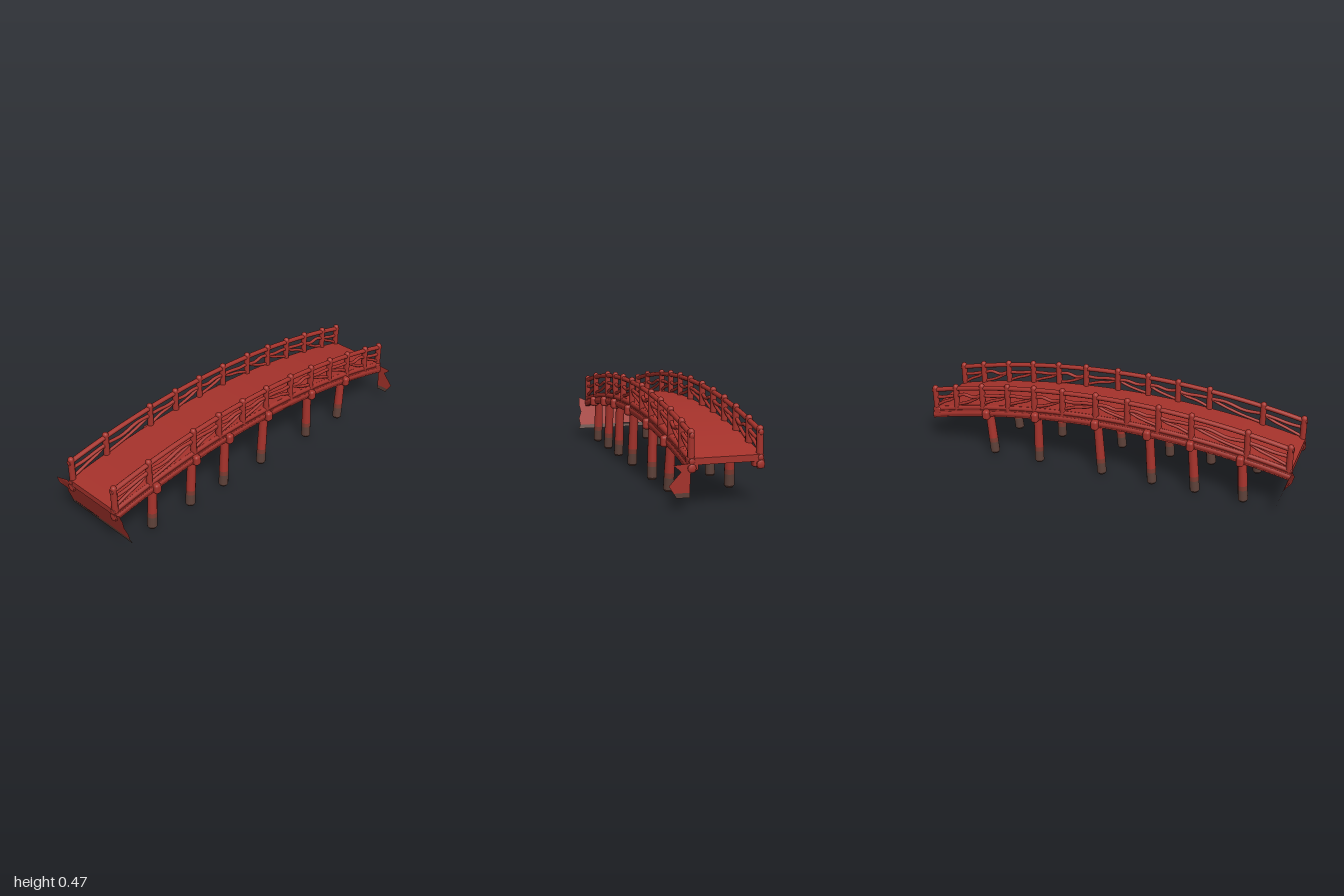
import * as THREE from 'three';
import { RoundedBoxGeometry } from 'three/addons/geometries/RoundedBoxGeometry.js';

const mat = (name, color, side = THREE.FrontSide) => {
  const m = new THREE.MeshStandardMaterial({ color, side });
  m.name = name;
  return m;
};

export function createModel() {
  const red = mat('red lacquer', 0xa5322b, THREE.DoubleSide);
  const stain = mat('stained red', 0x7c3a30, THREE.DoubleSide);
  const brown = mat('muddy brown', 0x5c4038, THREE.DoubleSide);

  const model = new THREE.Group();
  model.name = 'archedBridge';

  // Centre height of the side beams along the arch
  const arch = x => 0.31 - 0.117 * (x + 0.03) ** 2;
  const X0 = -0.965, X1 = 0.992;
  const v = (x, y, z) => new THREE.Vector3(x, y, z);

  const add = (name, geometry, material, parent = model) => {
    const mesh = new THREE.Mesh(geometry, material);
    mesh.name = name;
    parent.add(mesh);
    return mesh;
  };

  // Straight round timber between two points
  const log = (name, a, b, ra, rb, material, parent) => {
    const d = b.clone().sub(a);
    const m = add(name, new THREE.CylinderGeometry(rb, ra, d.length(), 14), material, parent);
    m.position.copy(a).addScaledVector(d, 0.5);
    m.quaternion.setFromUnitVectors(v(0, 1, 0), d.normalize());
    return m;
  };

  // Bent timber through a few points, with rounded ends
  const bent = (name, pts, r, parent, segments = 10) => {
    const curve = new THREE.CatmullRomCurve3(pts);
    add(name, new THREE.TubeGeometry(curve, segments, r, 10), red, parent);
    for (const p of [pts[0], pts[pts.length - 1]]) {
      const end = add(name + 'End', new THREE.SphereGeometry(r, 10, 6), red, parent);
      end.position.copy(p);
      end.scale.x = 0.3;
    }
  };

  const archPoints = (offset, z, n = 16) => Array.from({ length: n + 1 }, (_, i) => {
    const x = X0 + (X1 - X0) * i / n;
    return v(x, arch(x) + offset, z);
  });

  // Solid strip following the arch
  const strip = (name, low, high, z0, z1) => {
    const shape = new THREE.Shape([
      ...archPoints(low, 0, 32), ...archPoints(high, 0, 32).reverse(),
    ].map(p => new THREE.Vector2(p.x, p.y)));
    const g = new THREE.ExtrudeGeometry(shape, { depth: z1 - z0, bevelEnabled: false });
    g.translate(0, 0, z0);
    add(name, g, red);
  };
  strip('deck', 0.004, 0.034, -0.175, 0.15);

  // Railings and side beams
  const postX = [-0.95, -0.74, -0.457, -0.287, -0.122, 0.048, 0.23, 0.39, 0.543, 0.693, 0.85, 0.976];
  for (const [side, z, inward] of [['left', 0.147, -1], ['right', -0.17, 1]]) {
    const rail = new THREE.Group();
    rail.name = side === 'left' ? 'frontRailing' : 'backRailing';
    model.add(rail);

    strip('sideBeam', -0.028, 0.012, z - 0.016, z + 0.016);
    bent('lowerBeamLog', archPoints(-0.01, z), 0.02, rail, 48);
    bent('upperBeamLog', archPoints(0.02, z), 0.014, rail, 48);
    bent('topRail', archPoints(0.132, z), 0.0125, rail, 48);

    postX.forEach((x, i) => {
      const low = arch(x) - 0.015, high = arch(x) + 0.158;
      const post = add('post', new THREE.CapsuleGeometry(0.016, high - low - 0.032, 4, 12), red, rail);
      post.position.set(x, (low + high) / 2, z);
      if (i === postX.length - 1) return;

      // Crooked branches filling each bay
      const nx = postX[i + 1], w = nx - x;
      const at = (t, off) => v(x + w * t, arch(x + w * t) + off, z);
      const wob = 0.006 * Math.sin(i * 2.3 + z * 20);
      bent('middleRail', [at(0, 0.092), at(0.35, 0.084 + wob), at(0.7, 0.09 - wob), at(1, 0.09)], 0.009, rail);
      const rising = x + w / 2 < 0.05;
      const t = k => rising ? k : 1 - k;
      bent('brace', [at(t(0), 0.04), at(t(0.4), 0.055 + wob), at(t(0.75), 0.07), at(t(1), 0.092)], 0.008, rail);
    });

    // Square blocks finishing the beams at the far end
    const block = add('beamEnd', new RoundedBoxGeometry(0.04, 0.06, 0.05, 2, 0.008), red, rail);
    block.position.set(0.968, arch(0.968) + 0.002, z + inward * 0.007);
  }

  // Trestles: a cross beam carried by two leaning piles
  const trestles = [[-0.735, -0.715], [-0.485, -0.46], [-0.255, -0.235], [0.02, 0.045], [0.378, 0.38], [0.64, 0.665]];
  for (const [bx, tx] of trestles) {
    const trestle = new THREE.Group();
    trestle.name = 'trestle';
    model.add(trestle);
    const topY = arch(tx) - 0.012;
    const beam = add('crossBeam', new RoundedBoxGeometry(0.038, 0.054, 0.40, 3, 0.014), red, trestle);
    beam.position.set(tx, topY, -0.0125);

    for (const [bz, tz] of [[0.141, 0.136], [-0.16, -0.153]]) {
      const at = y => v(bx, 0, bz).lerp(v(tx, topY, tz), y / topY);
      log('pileTip', at(0.002), at(0.012), 0.018, 0.025, brown, trestle);
      log('pileFoot', at(0.012), at(0.068), 0.025, 0.0245, brown, trestle);
      log('pileStain', at(0.068), at(0.092), 0.0245, 0.0243, stain, trestle);
      log('pile', at(0.092), at(topY), 0.0243, 0.022, red, trestle);
    }
  }

  // Ragged sheet across the near end, leaning inward towards the bottom
  const lean = (name, pts, material, xAt, parent) => {
    const g = new THREE.ShapeGeometry(new THREE.Shape(pts.map(p => new THREE.Vector2(...p))));
    const p = g.attributes.position;
    for (let i = 0; i < p.count; i++) {
      const z = p.getX(i), y = p.getY(i);
      p.setXYZ(i, xAt(y, z), y, z);
    }
    g.computeVertexNormals();
    add(name, g, material, parent);
  };
  const sheetX = (y, z) => -0.915 - 0.29 * (y - 0.05) - (z < -0.23 && y > 0.2 ? 0.022 : 0);
  lean('endSheet', [
    [-0.235, 0.072], [-0.245, 0.13], [-0.232, 0.15], [-0.243, 0.2], [-0.24, 0.24], [-0.19, 0.235],
    [-0.17, 0.21], [0.15, 0.21], [0.2, 0.235], [0.205, 0.19], [0.195, 0.15], [0.21, 0.11], [0.205, 0.072],
  ], red, sheetX);
  lean('endSheetHem', [
    [-0.24, 0.05], [-0.235, 0.072], [-0.1, 0.068], [0.05, 0.074], [0.205, 0.072], [0.215, 0.05],
  ], brown, sheetX);

  // Torn flap hanging from the far corner
  const flapX = y => 0.987 + 0.02 * (y - 0.05);
  lean('tornFlap', [
    [0.155, 0.072], [0.15, 0.2], [0.23, 0.195], [0.195, 0.165], [0.25, 0.105], [0.228, 0.072],
  ], red, flapX);
  lean('tornFlapHem', [[0.155, 0.05], [0.155, 0.072], [0.228, 0.072], [0.215, 0.05]], brown, flapX);

  return model;
}
